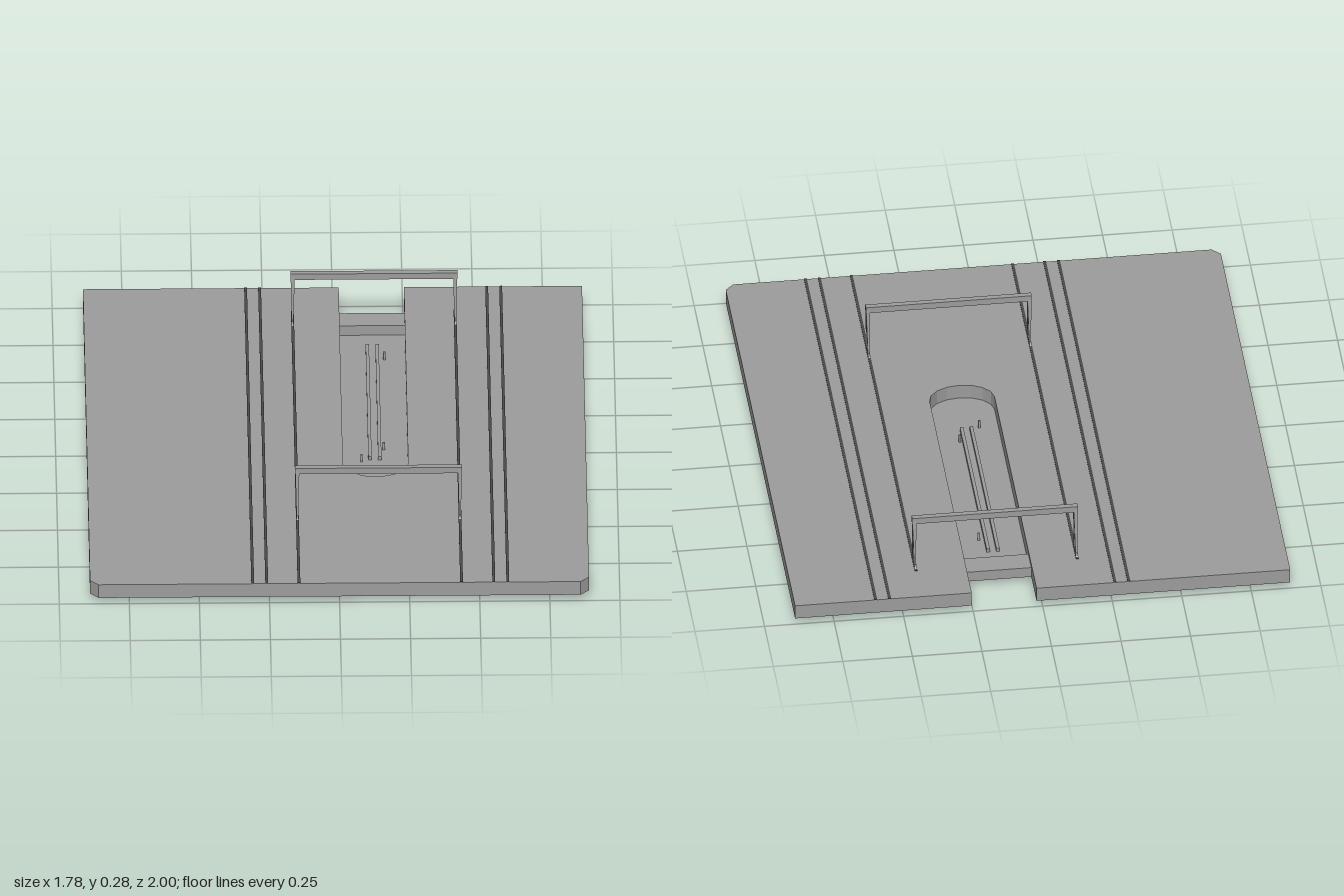
import * as THREE from 'three';

const grey = new THREE.MeshStandardMaterial({ color: 0x9d9d9d, flatShading: true });
const sheet = new THREE.MeshStandardMaterial({ color: 0x9d9d9d, flatShading: true, side: THREE.DoubleSide });
const dark = new THREE.MeshStandardMaterial({ color: 0x4a4a4a, flatShading: true });

const TOP = 0.08, BOTTOM = 0.025;
const SLOT = { x0: 0.022, x1: 0.255, endZ: 0.195, rz: 0.085 };
const TRESTLE_X = [-0.145, 0.435];
const RAIL_X = [0.12, 0.155];

// Points [x, z] round the closed end of the slot, from its +x side to its -x side
function slotEnd() {
  const cx = (SLOT.x0 + SLOT.x1) / 2, rx = (SLOT.x1 - SLOT.x0) / 2, pts = [];
  for (let i = 0; i <= 8; i++) {
    const a = (i / 8) * Math.PI;
    pts.push([cx + rx * Math.cos(a), SLOT.endZ + SLOT.rz * Math.sin(a)]);
  }
  return pts;
}

// Flat horizontal sheet from an [x, z] outline
function flat(name, pts, y) {
  const shape = new THREE.Shape(pts.map(([x, z]) => new THREE.Vector2(x, -z)));
  const mesh = new THREE.Mesh(new THREE.ShapeGeometry(shape).rotateX(-Math.PI / 2), sheet);
  mesh.position.y = y;
  mesh.name = name;
  return mesh;
}

// Upright thin wall that follows a closed [x, z] outline
function wall(name, pts, y0, y1) {
  const pos = [];
  pts.forEach(([ax, az], i) => {
    const [bx, bz] = pts[(i + 1) % pts.length];
    pos.push(ax, y0, az, bx, y0, bz, bx, y1, bz, ax, y0, az, bx, y1, bz, ax, y1, az);
  });
  const geo = new THREE.BufferGeometry();
  geo.setAttribute('position', new THREE.Float32BufferAttribute(pos, 3));
  geo.computeVertexNormals();
  const mesh = new THREE.Mesh(geo, sheet);
  mesh.name = name;
  return mesh;
}

// Box given by its limits
function box(name, x0, x1, y0, y1, z0, z1, material = grey) {
  const mesh = new THREE.Mesh(new THREE.BoxGeometry(x1 - x0, y1 - y0, z1 - z0), material);
  mesh.position.set((x0 + x1) / 2, (y0 + y1) / 2, (z0 + z1) / 2);
  mesh.name = name;
  return mesh;
}

// Profile in the z-y plane, given thickness along x that may vary with height
function sidePlate(name, pts, x, thickAt, holes = []) {
  const toPath = (p) => p.map(([z, y]) => new THREE.Vector2(-z, y));
  const shape = new THREE.Shape(toPath(pts));
  holes.forEach((h) => shape.holes.push(new THREE.Path(toPath(h))));
  const geo = new THREE.ExtrudeGeometry(shape, { depth: 1, bevelEnabled: false });
  geo.translate(0, 0, -0.5).rotateY(Math.PI / 2);
  const pos = geo.attributes.position;
  for (let i = 0; i < pos.count; i++) pos.setX(i, pos.getX(i) * thickAt(pos.getY(i)));
  geo.computeVertexNormals();
  const mesh = new THREE.Mesh(geo, grey);
  mesh.position.x = x;
  mesh.name = name;
  return mesh;
}

// Portal: two A-frame legs on low feet, joined by a crossbar
function trestle(z) {
  const g = new THREE.Group();
  g.name = 'trestle';
  for (const x of TRESTLE_X) {
    g.add(sidePlate('trestleLeg',
      [[-0.028, 0.083], [0.028, 0.083], [0.009, 0.276], [-0.009, 0.276]], x,
      (y) => THREE.MathUtils.mapLinear(y, 0.083, 0.276, 0.006, 0.015),
      [[[-0.02, 0.09], [-0.002, 0.235], [0.002, 0.235], [0.02, 0.09]]]));
    for (const s of [-1, 1]) {
      const c = s * 0.027;
      g.add(sidePlate('trestleFoot',
        [[c - 0.024, TOP], [c + 0.024, TOP], [c + 0.01, 0.089], [c - 0.01, 0.089]], x, () => 0.007));
    }
  }
  g.add(box('crossbar', TRESTLE_X[0] - 0.008, TRESTLE_X[1] + 0.008, 0.253, 0.277, -0.01, 0.01));
  g.position.z = z;
  return g;
}

export function createModel() {
  const model = new THREE.Group();
  const end = slotEnd();

  // Hollow deck with clipped front corners and a slot open at the back
  const outline = [
    [-0.89, -1], [-0.89, 0.97], [-0.86, 1], [0.86, 1], [0.89, 0.97], [0.89, -1],
    [SLOT.x1, -1], ...end, [SLOT.x0, -1],
  ];
  model.add(flat('deck', outline, TOP), wall('deckSkirt', outline, BOTTOM, TOP));

  // Sunken pit with a sill at its back end, two rails and small posts
  model.add(flat('pitFloor', [[SLOT.x1, -0.85], ...end, [SLOT.x0, -0.85]], BOTTOM));
  model.add(box('pitSill', SLOT.x0, SLOT.x1, BOTTOM, 0.065, -0.85, -0.765));
  for (const x of RAIL_X) model.add(box('pitRail', x - 0.006, x + 0.006, BOTTOM, 0.04, -0.68, 0.08));
  for (const [x, z] of [[0.18, -0.6], [0.17, 0.01], [0.09, 0.09]]) {
    model.add(box('pitPost', x - 0.004, x + 0.004, BOTTOM, 0.055, z - 0.004, z + 0.004));
  }

  // Pegs and a cross strip under the pit
  model.add(box('underStrip', SLOT.x0, SLOT.x1, 0.01, BOTTOM, -0.757, -0.753));
  for (const z of [0.18, 0.055, -0.075, -0.21, -0.34, -0.49, -0.62, -0.755]) {
    model.add(box('sidePeg', 0.012, 0.02, 0, BOTTOM, z - 0.003, z + 0.003));
    model.add(box('sidePeg', 0.247, 0.255, 0.01, BOTTOM, z - 0.003, z + 0.003));
  }
  for (let i = 0; i < 7; i++) {
    const z = 0.065 - i * 0.107;
    for (const x of RAIL_X) model.add(box('centrePeg', x - 0.004, x + 0.004, 0.016, BOTTOM, z - 0.003, z + 0.003, dark));
  }

  // Tracks along the deck
  for (const x of [-0.31, -0.26, 0.55, 0.6]) model.add(box('track', x - 0.005, x + 0.005, TOP, TOP + 0.003, -1, 1, dark));
  for (const x of TRESTLE_X) model.add(box('trestleTrack', x - 0.005, x + 0.005, TOP, TOP + 0.003, -0.84, 1, dark));

  model.add(trestle(0.53), trestle(-0.785));
  return model;
}
